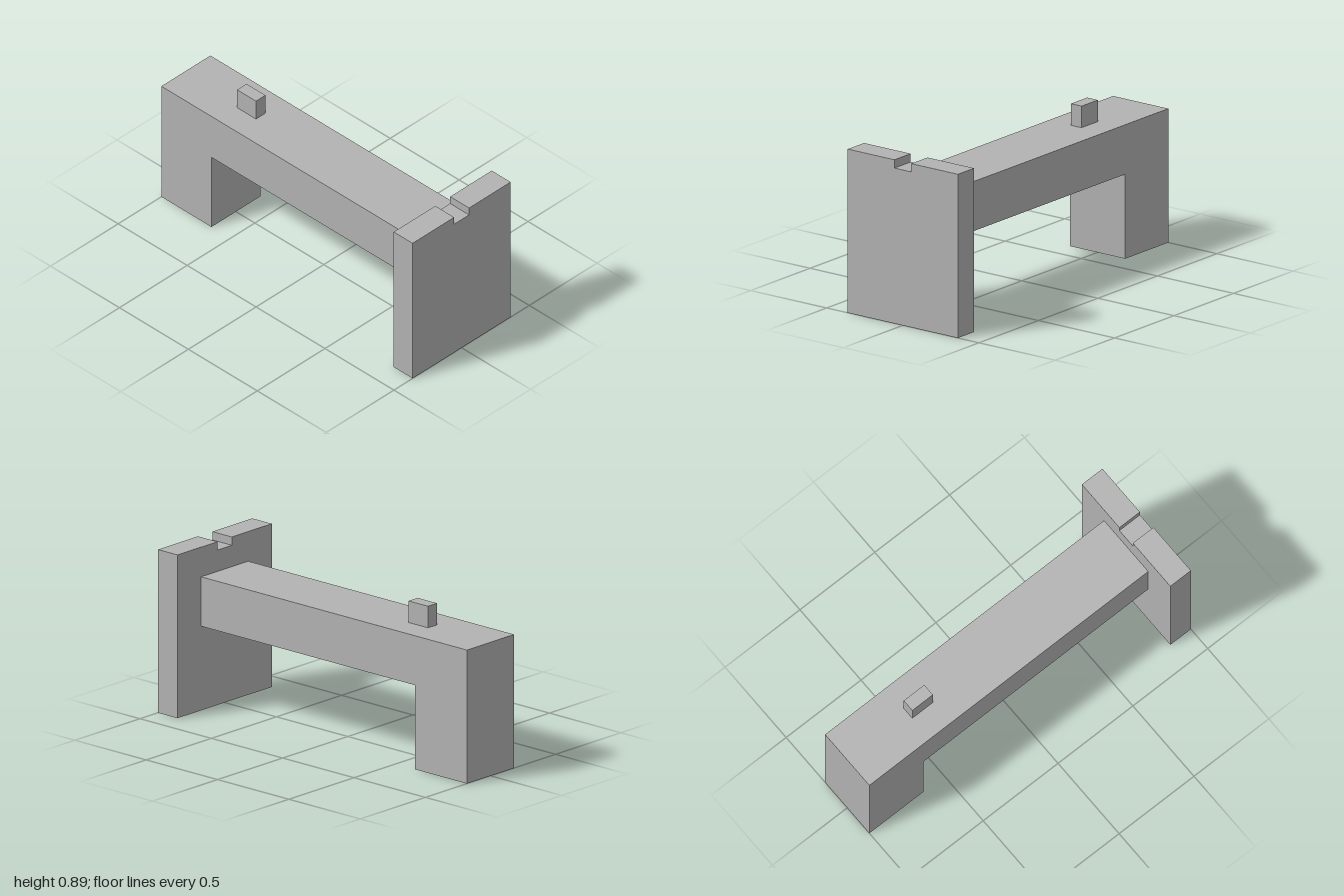
import * as THREE from 'three';

export function createModel() {
  const group = new THREE.Group();
  const grey = new THREE.MeshStandardMaterial({ color: 0xb2b2b2 });
  grey.name = 'grey';

  // Extrudes an outline to the given depth, centred on its extrusion axis
  const slab = (name, points, depth) => {
    const shape = new THREE.Shape(points.map(([x, y]) => new THREE.Vector2(x, y)));
    const geometry = new THREE.ExtrudeGeometry(shape, { depth, bevelEnabled: false });
    geometry.translate(0, 0, -depth / 2);
    const mesh = new THREE.Mesh(geometry, grey);
    mesh.name = name;
    group.add(mesh);
    return mesh;
  };

  // Horizontal beam with its leg in one L-shaped piece
  slab('beamAndLeg', [
    [-1, 0], [-0.637, 0], [-0.637, 0.457], [0.863, 0.457], [0.863, 0.725], [-1, 0.725],
  ], 0.362);

  // Upright end plate with a sighting notch in its top edge
  const plate = slab('notchedEndPlate', [
    [-0.362, 0], [0.362, 0], [0.362, 0.886], [0.055, 0.886],
    [0.055, 0.841], [-0.055, 0.841], [-0.055, 0.886], [-0.362, 0.886],
  ], 0.137);
  plate.rotation.y = Math.PI / 2;
  plate.position.x = 0.9315;

  // Small peg standing on the beam
  const peg = new THREE.Mesh(new THREE.BoxGeometry(0.137, 0.117, 0.07), grey);
  peg.name = 'peg';
  peg.position.set(-0.5255, 0.7835, 0);
  group.add(peg);

  return group;
}
